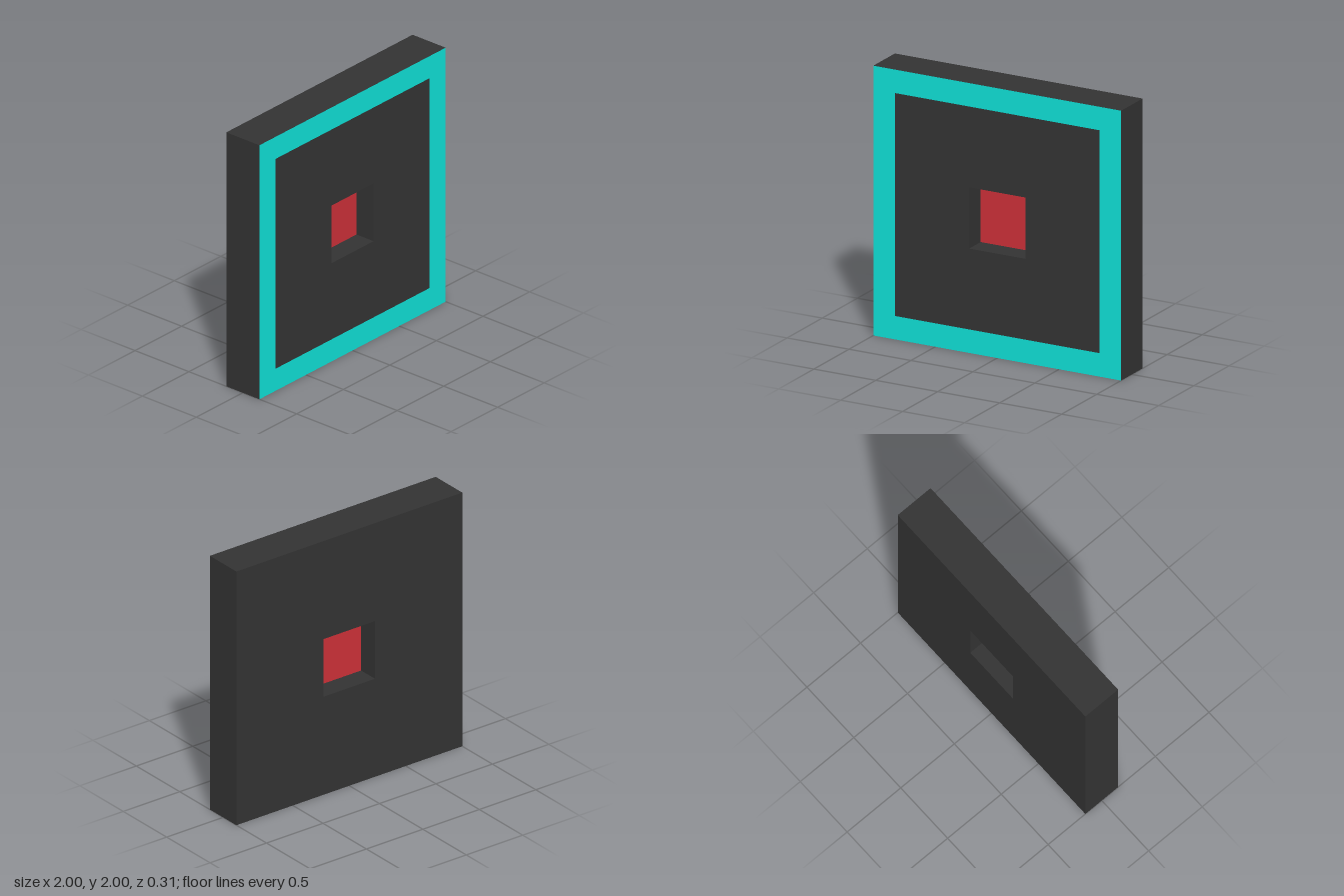
import * as THREE from 'three';

const DEPTH = 0.306;

// Square outline with a square hole, given by half sizes
function squareRing(outer, inner) {
  const corners = (h) => [[-h, -h], [h, -h], [h, h], [-h, h]].map(([x, y]) => new THREE.Vector2(x, y));
  const shape = new THREE.Shape(corners(outer));
  shape.holes.push(new THREE.Path(corners(inner).reverse()));
  return shape;
}

function addPart(group, name, geometry, color, z, side = THREE.FrontSide) {
  const mesh = new THREE.Mesh(geometry, new THREE.MeshStandardMaterial({ color, side }));
  mesh.name = name;
  mesh.position.set(0, 1, z);
  group.add(mesh);
}

export function createModel() {
  const group = new THREE.Group();
  group.name = 'squareTile';

  // Dark slab with a square opening through its middle
  const slab = new THREE.ExtrudeGeometry(squareRing(1, 0.227), { depth: DEPTH, bevelEnabled: false });
  addPart(group, 'slab', slab, 0x333333, -DEPTH / 2);

  // Bright border lying on the front face
  addPart(group, 'frontBorder', new THREE.ShapeGeometry(squareRing(1, 0.826)), 0x0fe0d6, DEPTH / 2 + 0.001);

  // Thin red panel halfway through the opening, with a hairline gap around it
  addPart(group, 'centrePanel', new THREE.PlaneGeometry(0.445, 0.445), 0xcc3038, 0, THREE.DoubleSide);

  return group;
}
